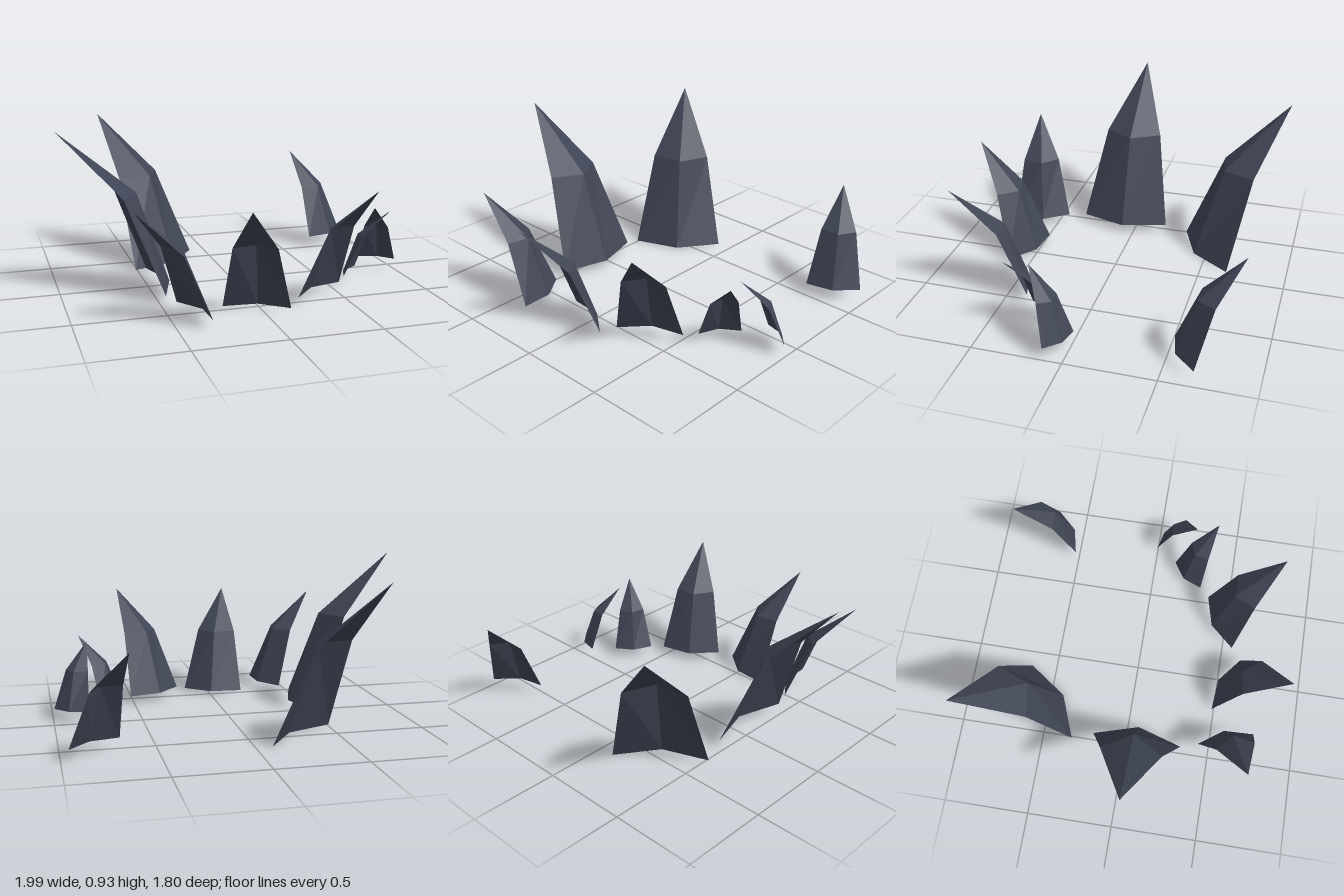
import * as THREE from 'three';

// Unit blade cross-sections: [half width, outward reach of edges, outward reach of crease, height]
const SECTIONS = [
  [0.265, 0, -0.08, 0],
  [0.17, 0.2, 0.1, 0.525],
];
const TIP = [0, 0.88, 0.53];

// Folded leaf-like shard: two panels per side of the crease, closing to a point; leans towards +z
function bladeGeometry() {
  const triangles = [];
  const [low, mid] = SECTIONS.map(([w, edge, crease, y]) => [
    [-w, y, edge], [0, y, crease], [w, y, edge],
  ]);
  for (let i = 0; i < 2; i++) {
    triangles.push(low[i + 1], low[i], mid[i]);
    triangles.push(low[i + 1], mid[i], mid[i + 1]);
    triangles.push(mid[i + 1], mid[i], TIP);
  }
  const geometry = new THREE.BufferGeometry();
  geometry.setAttribute('position', new THREE.Float32BufferAttribute(triangles.flat(), 3));
  geometry.computeVertexNormals();
  return geometry;
}

// name, base x, y, z, outward direction x, z, scale
const BLADES = [
  ['largeLeftShard', -0.47, 0.05, 0.067, -1, 0, 1],
  ['largeBackShard', -0.3, 0.003, -0.49, -0.32, -0.41, 1],
  ['frontLeftShard', -0.38, 0.05, 0.595, -0.32, 0.11, 0.645],
  ['frontShard', -0.028, 0.02, 0.555, -0.135, 0.34, 0.69],
  ['frontRightShard', 0.363, 0.05, 0.463, 0.1875, 0.3125, 0.695],
  ['smallInnerShard', 0.65, 0.055, 0.218, 0.18, 0.148, 0.443],
  ['smallOuterShard', 0.9, 0.07, 0.053, -0.105, 0.18, 0.41],
  ['backRightShard', 0.825, 0.067, -0.595, -0.15, -0.265, 0.585],
];

export function createModel() {
  const group = new THREE.Group();
  group.name = 'shardRing';
  const slate = new THREE.MeshStandardMaterial({
    color: 0x404555, flatShading: true, side: THREE.DoubleSide,
  });
  slate.name = 'slate';
  const geometry = bladeGeometry();

  for (const [name, x, y, z, dx, dz, scale] of BLADES) {
    const blade = new THREE.Mesh(geometry, slate);
    blade.name = name;
    blade.position.set(x, y, z);
    blade.rotation.y = Math.atan2(dx, dz);
    blade.scale.setScalar(scale);
    group.add(blade);
  }
  return group;
}
